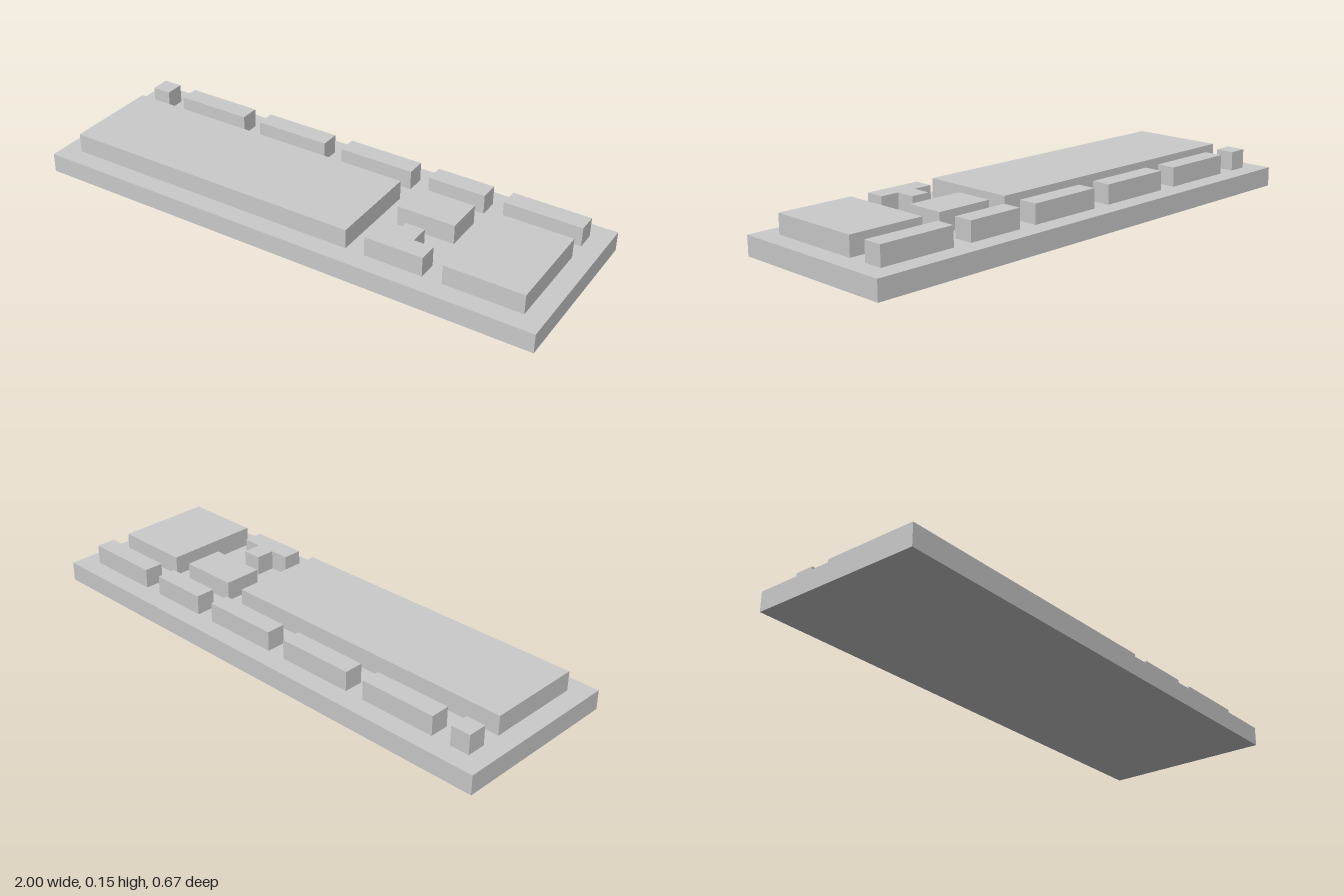
import * as THREE from 'three';

const U = 2 / 27; // one grid unit: the base is 27 x 9 units, one unit thick

export function createModel() {
  const model = new THREE.Group();
  const material = new THREE.MeshStandardMaterial({ color: 0xcccccc, flatShading: true });

  // Block spanning grid columns x0..x1 and rows z0..z1 (row 0 at the back)
  function block(name, x0, x1, z0, z1, level) {
    const mesh = new THREE.Mesh(new THREE.BoxGeometry((x1 - x0) * U, U, (z1 - z0) * U), material);
    mesh.name = name;
    mesh.position.set(((x0 + x1) / 2 - 13.5) * U, (level + 0.5) * U, ((z0 + z1) / 2 - 4.5) * U);
    model.add(mesh);
  }

  block('base', 0, 27, 0, 9, 0);

  // Back row: escape key, three function key groups, system keys, lock keys
  block('escapeKey', 1, 2, 1, 2, 1);
  [3, 8, 13].forEach((x, i) => block('functionKeys' + (i + 1), x, x + 4, 1, 2, 1));
  block('systemKeys', 18, 21, 1, 2, 1);
  block('lockKeys', 22, 26, 1, 2, 1);

  // Large key fields
  block('mainKeys', 1, 17, 3, 8, 1);
  block('navigationKeys', 18, 21, 3, 5, 1);
  block('numberPad', 22, 26, 3, 8, 1);

  // Arrow keys: an upside-down T in one piece
  const outline = [[18, 8], [21, 8], [21, 7], [20, 7], [20, 6], [19, 6], [19, 7], [18, 7]];
  const shape = new THREE.Shape(outline.map(([x, z]) => new THREE.Vector2((x - 13.5) * U, (4.5 - z) * U)));
  const arrows = new THREE.Mesh(new THREE.ExtrudeGeometry(shape, { depth: U, bevelEnabled: false }), material);
  arrows.name = 'arrowKeys';
  arrows.rotation.x = -Math.PI / 2;
  arrows.position.y = U;
  model.add(arrows);

  return model;
}
